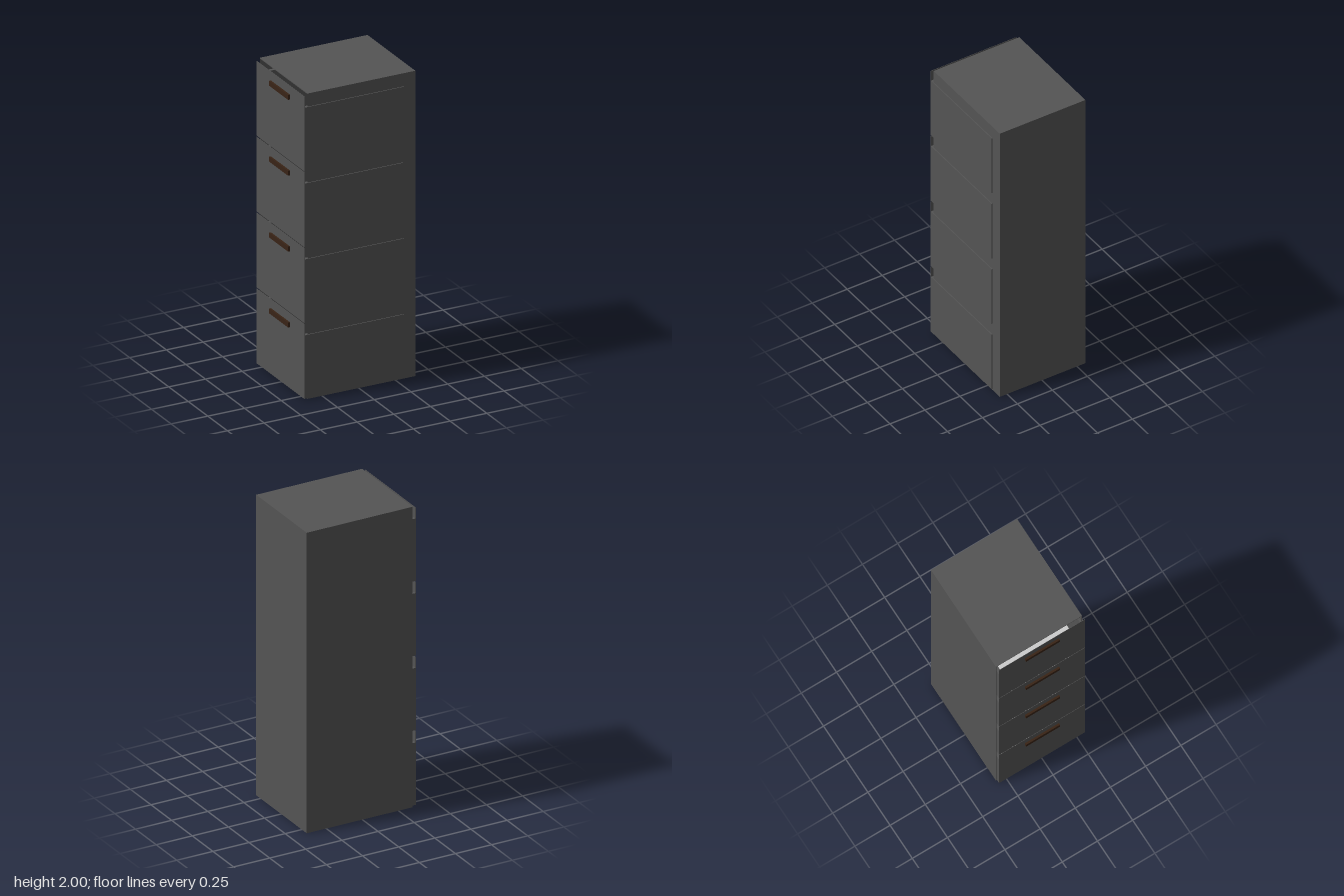
import * as THREE from 'three';

const material = (color) => new THREE.MeshStandardMaterial({ color, side: THREE.DoubleSide });

// Box given by its min and max along each axis
function box(name, mat, [x0, x1], [y0, y1], [z0, z1]) {
  const mesh = new THREE.Mesh(new THREE.BoxGeometry(x1 - x0, y1 - y0, z1 - z0), mat);
  mesh.position.set((x0 + x1) / 2, (y0 + y1) / 2, (z0 + z1) / 2);
  mesh.name = name;
  return mesh;
}

export function createModel() {
  const model = new THREE.Group();
  model.name = 'filingCabinet';
  const steel = material(0x545454);
  const liner = material(0xcccccc);
  const wood = material(0x392416);

  // Cabinet shell, open on the drawer side (-x)
  const X = [-0.348, 0.385], Y = [0, 2], Z = [-0.31, 0.302], t = 0.005;
  const shell = new THREE.Group();
  shell.name = 'cabinetShell';
  shell.add(
    box('topPanel', steel, X, [Y[1] - t, Y[1]], Z),
    box('bottomPanel', steel, X, [Y[0], Y[0] + t], Z),
    box('backPanel', steel, [X[1] - t, X[1]], [Y[0] + t, Y[1] - t], Z),
    box('leftSidePanel', steel, [X[0], X[1] - t], [Y[0] + t, Y[1] - t], [Z[1] - t, Z[1]]),
    box('rightSidePanel', steel, [X[0], X[1] - t], [Y[0] + t, Y[1] - t], [Z[0], Z[0] + t])
  );
  model.add(shell);

  // Four drawers: tray, light inner floor, tall thin front and handle
  for (let i = 0; i < 4; i++) {
    const drawer = new THREE.Group();
    drawer.name = 'drawer' + (i + 1);
    const run = [-0.371, 0.305], wall = [0.008, 0.423];
    drawer.add(
      box('sideWall', steel, run, wall, [0.285, 0.308]),
      box('sideWall', steel, run, wall, [-0.304, -0.282]),
      box('rearWall', steel, [0.283, 0.305], wall, [-0.282, 0.285]),
      box('trayBase', steel, [-0.371, 0.283], [0.008, 0.022], [-0.282, 0.285]),
      box('trayFloor', liner, [-0.371, 0.283], [0.022, 0.03], [-0.282, 0.285]),
      box('drawerFront', steel, [-0.373, -0.371], [0.006, 0.496], [-0.304, 0.308]),
      box('handle', wood, [-0.386, -0.362], [0.406, 0.438], [-0.12, 0.122])
    );
    drawer.position.y = i * 0.497;
    model.add(drawer);
  }
  return model;
}
